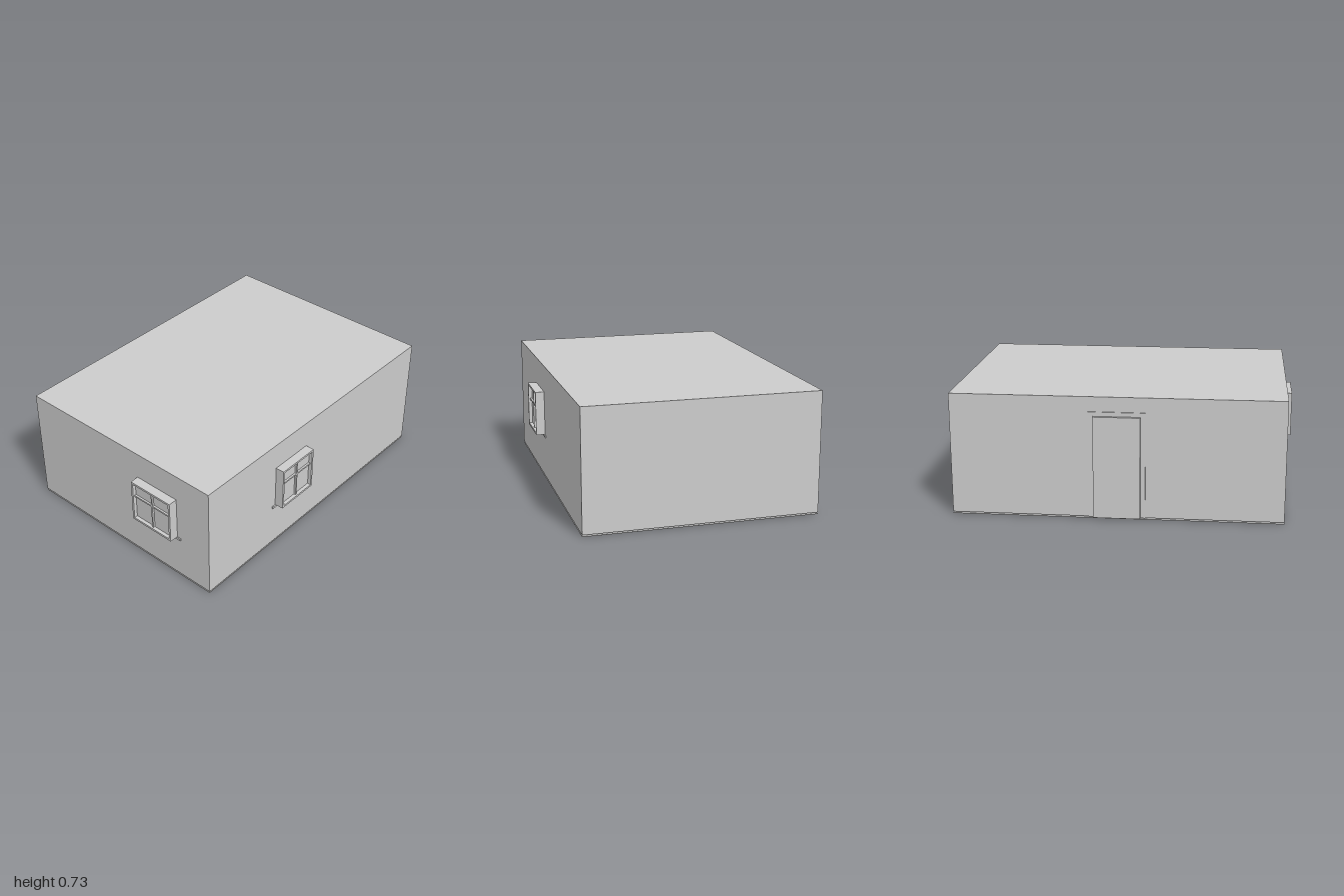
import * as THREE from 'three';

const grey = new THREE.MeshStandardMaterial({ color: 0xcccccc });
grey.name = 'plain grey';

// Box given by its min and max corners
function box(name, [x0, y0, z0], [x1, y1, z1]) {
  const geometry = new THREE.BoxGeometry(x1 - x0, y1 - y0, z1 - z0);
  geometry.translate((x0 + x1) / 2, (y0 + y1) / 2, (z0 + z1) / 2);
  const mesh = new THREE.Mesh(geometry, grey);
  mesh.name = name;
  return mesh;
}

// Window facing +z, its back on z = 0 and its foot on y = 0
function createWindow(name, width, height) {
  const group = new THREE.Group();
  group.name = name;
  const w = width / 2, depth = 0.055, rim = 0.013, pane = 0.033, bar = 0.005;

  // Hollow surround
  const outline = new THREE.Shape([[-w, 0], [w, 0], [w, height], [-w, height]]
    .map(([x, y]) => new THREE.Vector2(x, y)));
  outline.holes.push(new THREE.Path([[-w + rim, rim], [-w + rim, height - rim], [w - rim, height - rim], [w - rim, rim]]
    .map(([x, y]) => new THREE.Vector2(x, y))));
  const frame = new THREE.Mesh(new THREE.ExtrudeGeometry(outline, { depth, bevelEnabled: false }), grey);
  frame.name = 'windowFrame';

  // Recessed pane, glazing bars and the wider sill strip
  const barY = height * 0.62;
  group.add(
    frame,
    box('windowPane', [-w + rim, rim, 0], [w - rim, height - rim, pane]),
    box('verticalBar', [-bar, rim, pane], [bar, height - rim, pane + 0.012]),
    box('horizontalBar', [-w + rim, barY - bar, pane], [w - rim, barY + bar, pane + 0.012]),
    box('windowSill', [-w - 0.028, -0.014, 0], [w + 0.028, 0, 0.007]),
  );
  return group;
}

export function createModel() {
  const model = new THREE.Group();
  model.name = 'house';

  // Thin floor slab with a narrow gap under the main block
  model.add(
    box('floor', [-0.945, 0, -0.71], [1, 0.003, 0.68]),
    box('walls', [-0.945, 0.011, -0.71], [1, 0.733, 0.68]),
  );

  // Back door: leaf standing proud of a flat surround
  const door = new THREE.Group();
  door.name = 'door';
  door.add(
    box('doorLeaf', [-0.112, 0.011, -0.735], [0.162, 0.62, -0.71]),
    box('doorTrimRight', [-0.14, 0.011, -0.717], [-0.112, 0.645, -0.71]),
    box('doorTrimLeft', [0.162, 0.011, -0.717], [0.19, 0.645, -0.71]),
    box('doorTrimTop', [-0.112, 0.62, -0.717], [0.162, 0.645, -0.71]),
  );
  model.add(door);

  // Front and right-hand windows
  const front = createWindow('frontWindow', 0.28, 0.275);
  front.position.set(-0.225, 0.29, 0.68);
  const side = createWindow('sideWindow', 0.3, 0.275);
  side.position.set(-0.945, 0.29, 0.288);
  side.rotation.y = -Math.PI / 2;
  model.add(front, side);

  return model;
}
